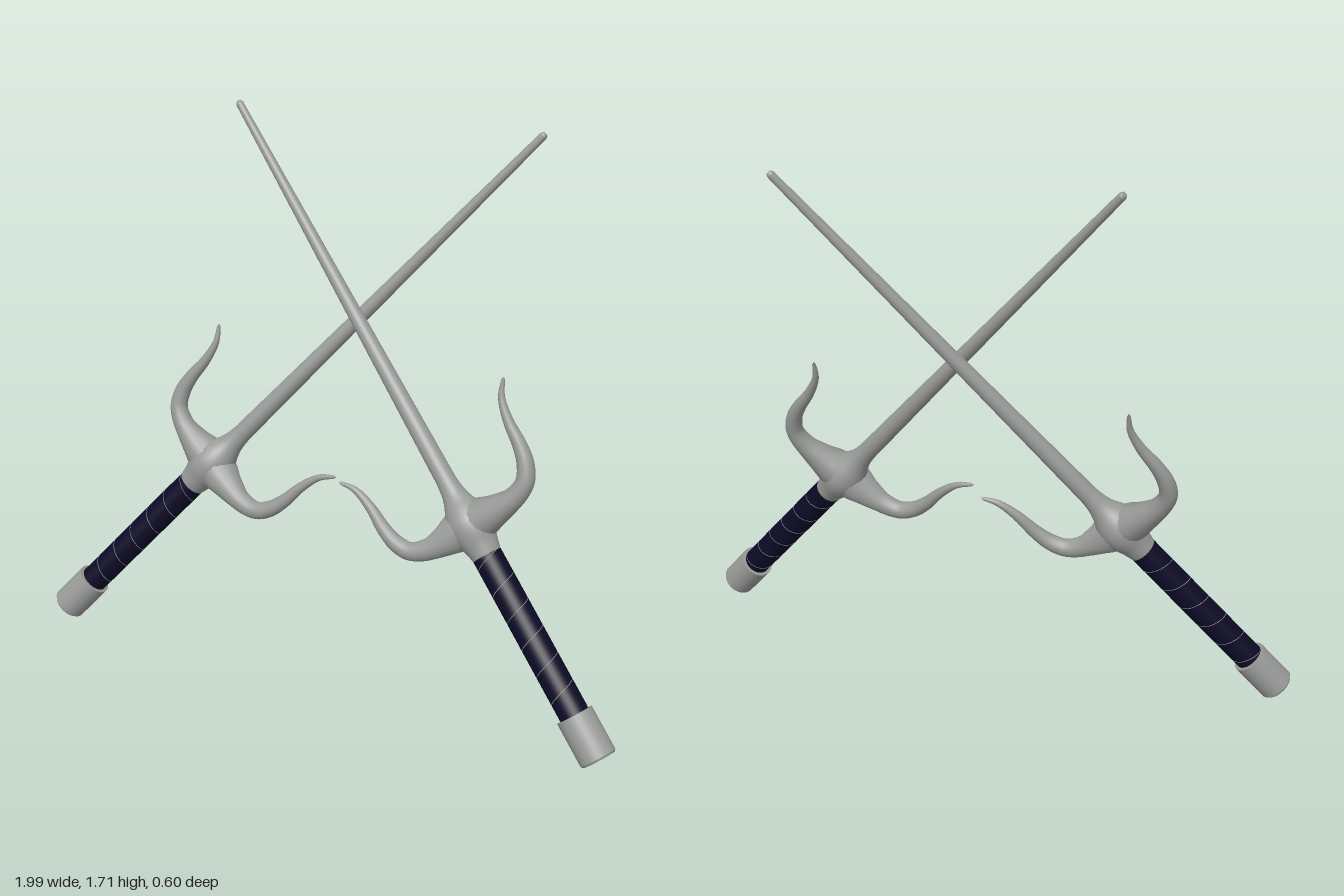
import * as THREE from 'three';

const steel = new THREE.MeshStandardMaterial({ color: 0x999b99 });
steel.name = 'steel grey';
const wrap = new THREE.MeshStandardMaterial({ color: 0x0d0b26 });
wrap.name = 'navy wrap';

const V = (x, y, z = 0) => new THREE.Vector3(x, y, z);

function add(parent, name, geometry, material) {
  const mesh = new THREE.Mesh(geometry, material);
  mesh.name = name;
  parent.add(mesh);
  return mesh;
}

// Cylinder spanning y0..y1
function rod(y0, y1, r0, r1, open = false) {
  return new THREE.CylinderGeometry(r1, r0, y1 - y0, 32, 1, open).translate(0, (y0 + y1) / 2, 0);
}

// Tube whose radius follows [fraction, radius] stops
function taperedTube(curve, stops, rings, sides) {
  const g = new THREE.TubeGeometry(curve, rings, 1, sides);
  const p = g.attributes.position;
  const v = V(0, 0);
  for (let i = 0; i <= rings; i++) {
    const t = i / rings;
    const k = Math.max(1, stops.findIndex(s => s[0] >= t));
    const [a, b] = [stops[k - 1], stops[k]];
    const r = THREE.MathUtils.mapLinear(t, a[0], b[0], a[1], b[1]);
    const c = curve.getPointAt(t);
    for (let j = 0; j <= sides; j++) {
      const n = i * (sides + 1) + j;
      v.fromBufferAttribute(p, n).sub(c).multiplyScalar(r).add(c);
      p.setXYZ(n, v.x, v.y, v.z);
    }
  }
  return g;
}

// One weapon, blade along +y, hub at the origin, prongs in the xy plane
function makeSai(name, twist) {
  const sai = new THREE.Group();
  sai.name = name;

  // Blade with a small rounded tip
  add(sai, 'blade', rod(0.08, 1.488, 0.031, 0.012, true), steel);
  add(sai, 'bladeTip', rod(1.488, 1.496, 0.012, 0.008), steel);

  // Bulging hub
  const profile = new THREE.SplineCurve([
    [0.045, -0.105], [0.053, -0.07], [0.066, -0.03], [0.069, 0.005],
    [0.06, 0.04], [0.044, 0.075], [0.034, 0.11], [0.029, 0.16],
  ].map(([x, y]) => new THREE.Vector2(x, y)));
  add(sai, 'hub', new THREE.LatheGeometry(profile.getPoints(28), 32), steel);

  // Pair of curved side prongs
  const path = new THREE.CatmullRomCurve3([
    V(0, 0), V(0.1, -0.005), V(0.165, 0), V(0.215, 0.022), V(0.243, 0.065),
    V(0.256, 0.12), V(0.262, 0.2), V(0.28, 0.268), V(0.316, 0.315),
  ]);
  const stops = [[0, 0.066], [0.1, 0.06], [0.17, 0.048], [0.28, 0.034], [0.38, 0.029],
    [0.5, 0.026], [0.7, 0.018], [0.85, 0.012], [0.98, 0.006], [1, 0]];
  const prong = taperedTube(path, stops, 56, 16);
  add(sai, 'leftProng', prong, steel);
  add(sai, 'rightProng', prong, steel).rotation.y = Math.PI;

  // Wrapped grip with a fine spiral seam
  add(sai, 'grip', rod(-0.64, -0.095, 0.045, 0.045), wrap);
  const seam = [];
  for (let i = 0; i <= 120; i++) {
    const a = (i / 120) * 6 * Math.PI * 2;
    seam.push(V(0.0445 * Math.cos(a), -0.62 + 0.52 * i / 120, twist * 0.0445 * Math.sin(a)));
  }
  add(sai, 'gripSeam', new THREE.TubeGeometry(new THREE.CatmullRomCurve3(seam), 240, 0.0013, 5), steel);

  // Pommel with a bevelled end
  add(sai, 'pommel', rod(-0.758, -0.622, 0.056, 0.056), steel);
  add(sai, 'pommelBevel', rod(-0.764, -0.758, 0.051, 0.056), steel);
  return sai;
}

// Aim a weapon from its pommel end to its blade tip
function place(sai, end, tip, side) {
  const d = tip.clone().sub(end).normalize();
  const s = side.clone().addScaledVector(d, -side.dot(d)).normalize();
  sai.quaternion.setFromRotationMatrix(new THREE.Matrix4().makeBasis(s, d, s.clone().cross(d)));
  sai.position.copy(end).addScaledVector(d, 0.764);
  return sai;
}

export function createModel() {
  const model = new THREE.Group();
  model.name = 'crossedSai';
  model.add(place(makeSai('rightSai', 1),
    V(-0.957, 0.045, 0.185), V(0.503, 1.71, -0.295), V(-0.76, 0.62, -0.17)));
  model.add(place(makeSai('leftSai', -1),
    V(0.955, 0.058, 0.242), V(-0.507, 1.727, -0.242), V(0.76, 0.62, -0.17)));
  return model;
}
